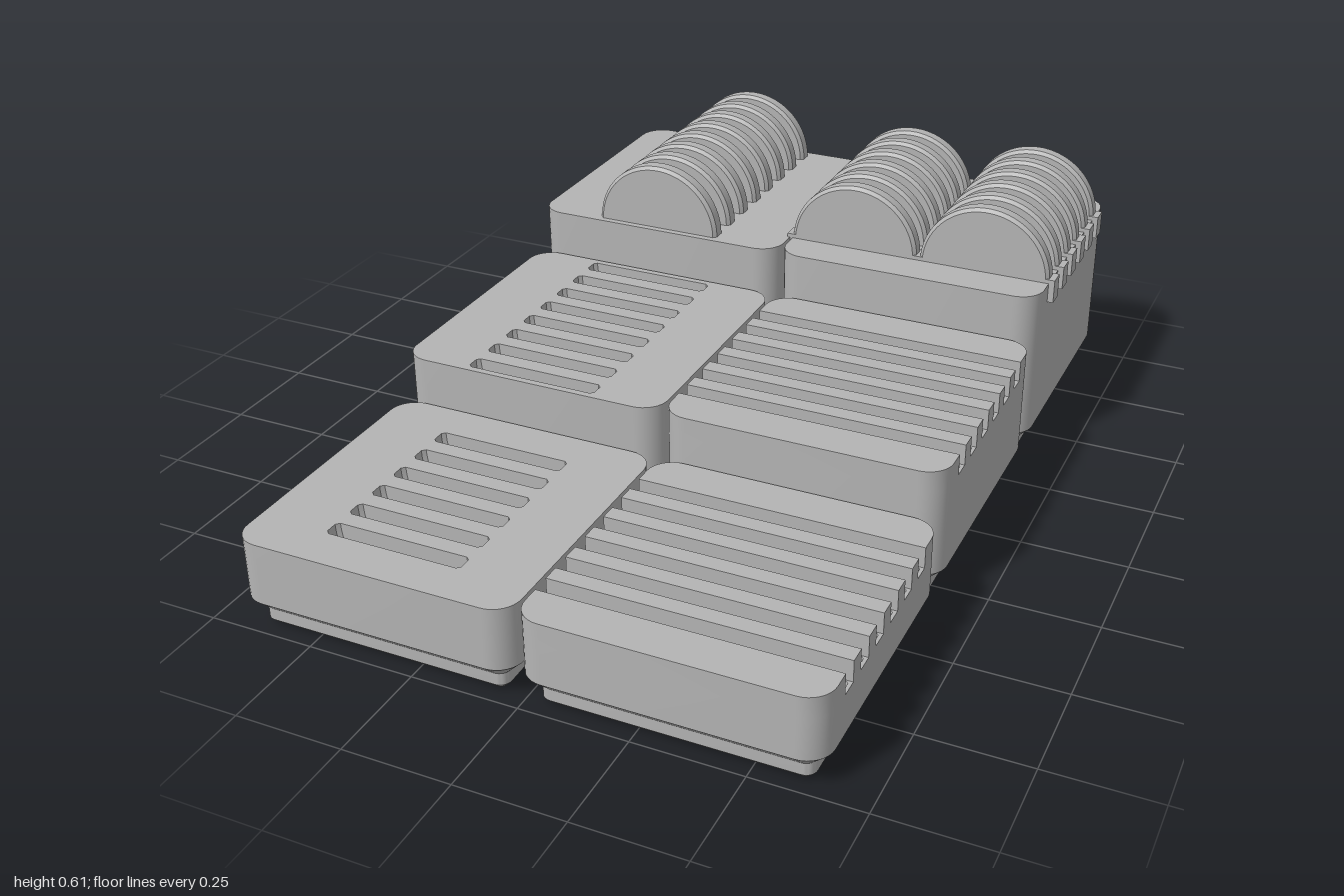
import * as THREE from 'three';
import { toCreasedNormals } from 'three/addons/utils/BufferGeometryUtils.js';

const HALF = 0.3307, CORNER = 0.06;          // bin footprint
const R = 0.163, T = 0.0215, BEVEL = 0.008;  // disc radius, half thickness, edge bevel
const STEP = 0.0836, GROOVE = 0.05;          // slot spacing, groove depth
const material = new THREE.MeshStandardMaterial({ color: 0xb4b4b4, side: THREE.DoubleSide });
material.name = 'light grey';

function add(parent, geometry, name, x = 0, y = 0, z = 0) {
  const mesh = new THREE.Mesh(geometry, material);
  mesh.name = name;
  mesh.position.set(x, y, z);
  parent.add(mesh);
  return mesh;
}

// Surface through rows of points
function skin(rows, closed) {
  const n = rows[0].length, index = [];
  for (let j = 0; j < rows.length - 1; j++) {
    for (let i = 0; i < (closed ? n : n - 1); i++) {
      const k = (i + 1) % n;
      const a = j * n + i, b = j * n + k, c = a + n, d = b + n;
      index.push(a, c, b, b, c, d);
    }
  }
  const g = new THREE.BufferGeometry();
  g.setAttribute('position', new THREE.Float32BufferAttribute(rows.flat(2), 3));
  g.setIndex(index);
  return toCreasedNormals(g, 0.5);
}

// Rounded square outline, counterclockwise
function outline(half, r) {
  const pts = [];
  for (let k = 0; k < 4; k++) {
    const sx = k === 0 || k === 3 ? 1 : -1, sy = k < 2 ? 1 : -1;
    for (let i = 0; i <= 8; i++) {
      const a = (k + i / 8) * Math.PI / 2;
      pts.push(new THREE.Vector2(sx * (half - r) + r * Math.cos(a), sy * (half - r) + r * Math.sin(a)));
    }
  }
  return pts;
}

// Lower part of a bevelled disc, cut off level at depth d below its centre
function discPart(d) {
  const a0 = Math.asin(d / R), rows = [];
  for (let i = 0; i <= 48; i++) {
    const a = a0 + (Math.PI - 2 * a0) * i / 48;
    const at = (r, z) => [r * Math.cos(a), Math.min(-d, -r * Math.sin(a)), z];
    const top = (z) => [(R - BEVEL) * Math.cos(a), -d, z];
    rows.push([top(T), at(R - BEVEL, T), at(R, T - BEVEL), at(R, BEVEL - T), at(R - BEVEL, -T), top(-T)]);
  }
  return skin(rows, false);
}

// Slot opening matching discPart(d)
function slotHole(x, y, d) {
  const w = Math.sqrt(R * R - d * d), b = BEVEL;
  return new THREE.Path([[w, b - T], [w, T - b], [w - b, T], [b - w, T], [-w, T - b], [-w, b - T], [b - w, -T], [w - b, -T]]
    .map(([px, py]) => new THREE.Vector2(x + px, y + py)));
}

const slotRow = (count) => Array.from({ length: count }, (_, i) => (i - (count - 1) / 2) * STEP);

// Body with stepped foot, magnet holes and a top face with slot openings
function addBody(bin, top, slots, d) {
  const rings = [[0.284, 0.0128, 0], [0.2965, 0.0255, 0.0128], [0.2965, 0.0255, 0.0415], [HALF, CORNER, 0.0757], [HALF, CORNER, top]];
  add(bin, skin(rings.map(([h, r, y]) => outline(h, r).map((p) => [p.x, y, p.y])), true), 'binWalls');

  const lid = new THREE.Shape(outline(HALF, CORNER));
  for (const [x, z] of slots) lid.holes.push(slotHole(x, -z, d));
  add(bin, new THREE.ShapeGeometry(lid).rotateX(-Math.PI / 2), 'binTop', 0, top);

  const floor = new THREE.Shape(outline(0.284, 0.0128));
  for (const x of [-0.207, 0.207]) for (const z of [-0.207, 0.207]) {
    floor.holes.push(new THREE.Path().absarc(x, z, 0.052, 0, Math.PI * 2, true));
    add(bin, new THREE.CylinderGeometry(0.052, 0.052, 0.038, 24, 1, true), 'magnetHoleWall', x, 0.019, z);
    add(bin, new THREE.CircleGeometry(0.052, 24).rotateX(Math.PI / 2), 'magnetHoleEnd', x, 0.038, z);
  }
  add(bin, new THREE.ShapeGeometry(floor, 24).rotateX(Math.PI / 2), 'binBottom');
}

// Ribs left standing between the through grooves
function addRibs(bin, y, rows) {
  for (let i = 0; i < rows.length - 1; i++) {
    add(bin, new THREE.BoxGeometry(HALF * 2, GROOVE, STEP - 2 * T), 'rib', 0, y + GROOVE / 2, (rows[i] + rows[i + 1]) / 2);
  }
  const inner = rows[rows.length - 1] + T;
  const end = new THREE.Shape([
    new THREE.Vector2(-HALF, inner), new THREE.Vector2(HALF, inner), ...outline(HALF, CORNER).slice(0, 18),
  ]);
  const g = toCreasedNormals(new THREE.ExtrudeGeometry(end, { depth: GROOVE, bevelEnabled: false }).rotateX(-Math.PI / 2), 0.5);
  add(bin, g, 'backRib', 0, y);
  add(bin, g, 'frontRib', 0, y).rotation.y = Math.PI;
}

export function createModel() {
  const model = new THREE.Group();
  model.name = 'discStorageBins';
  const halfDisc = discPart(0), lowDisc = discPart(GROOVE);
  const bins = [
    { z: 0.669, height: 0.2235, single: 6 },
    { z: 0, height: 0.335, single: 8 },
    { z: -0.669, height: 0.447, single: 8, filled: true },
  ];
  for (const { z, height, single, filled } of bins) {
    for (const paired of [false, true]) {
      const bin = new THREE.Group();
      bin.name = paired ? 'pairedBin' : 'singleBin';
      bin.position.set(paired ? 0.327 : -0.342, 0, z);
      model.add(bin);

      const rows = slotRow(paired ? 6 : single);
      const columns = paired ? [-0.1675, 0.1675] : [0];
      const slots = columns.flatMap((x) => rows.map((rz) => [x, rz]));
      if (filled) {
        // Standing discs, with holder bars through the paired bin
        addBody(bin, height, [], 0);
        for (const [x, rz] of slots) add(bin, halfDisc, 'disc', x, height, rz).rotation.z = Math.PI;
        if (paired) for (const rz of rows) {
          add(bin, new THREE.BoxGeometry(0.69, 0.058, 2 * T), 'holderBar', 0, height - 0.019, rz);
        }
      } else {
        // Empty round-bottomed slots
        const d = paired ? GROOVE : 0;
        addBody(bin, height - d, slots, d);
        for (const [x, rz] of slots) add(bin, paired ? lowDisc : halfDisc, 'slotPocket', x, height, rz);
        if (paired) addRibs(bin, height - d, rows);
      }
    }
  }
  return model;
}
